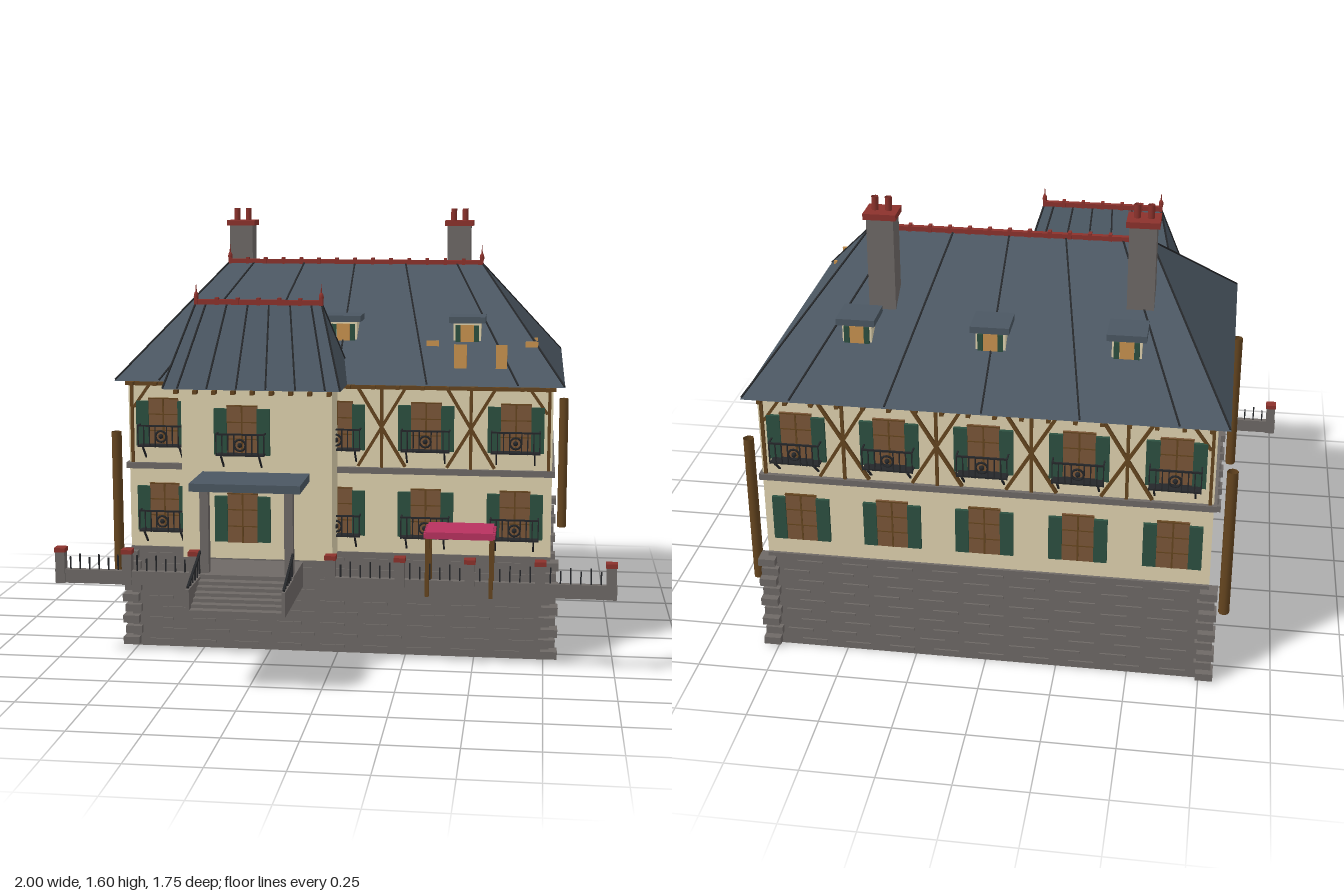
import * as THREE from 'three';

const mat = (name, color) => new THREE.MeshStandardMaterial({ name, color });

export function createModel() {
  const M = {
    cream: mat('cream plaster', 0xdfd2ae), stone: mat('grey stone', 0x6e6966),
    slate: mat('slate', 0x4b5762), green: mat('shutter green', 0x2c5040),
    wood: mat('window wood', 0x7a5638), timber: mat('dark timber', 0x65451f),
    red: mat('clay red', 0x8c322c), cloth: mat('awning pink', 0xb8325f),
    iron: mat('iron', 0x25272a), tan: mat('tan plank', 0xc8924f),
  };
  M.timber.side = M.red.side = THREE.DoubleSide;
  const house = new THREE.Group();
  house.name = 'house';
  const group = (name, parent = house) => {
    const g = new THREE.Group();
    g.name = name;
    parent.add(g);
    return g;
  };
  const add = (name, geo, m, x = 0, y = 0, z = 0, parent = house) => {
    const o = new THREE.Mesh(geo, m);
    o.name = name;
    o.position.set(x, y, z);
    parent.add(o);
    return o;
  };
  // box given by its limits on each axis
  const span = (name, m, x0, x1, y0, y1, z0, z1, parent) =>
    add(name, new THREE.BoxGeometry(x1 - x0, y1 - y0, z1 - z0), m,
      (x0 + x1) / 2, (y0 + y1) / 2, (z0 + z1) / 2, parent);
  // square bar between two points of the parent's space
  const up = new THREE.Vector3(0, 1, 0);
  const bar = (name, m, a, b, t, parent) => {
    const p = new THREE.Vector3(...a), q = new THREE.Vector3(...b);
    const o = add(name, new THREE.BoxGeometry(t, t, p.distanceTo(q)), m, 0, 0, 0, parent);
    o.position.copy(p).add(q).multiplyScalar(0.5);
    o.quaternion.setFromRotationMatrix(new THREE.Matrix4().lookAt(p, q, up));
  };

  // hipped roof with seams, ridge tiles and finials
  function hipRoof(name, x0, x1, z0, z1, y, r0, r1, top, seams) {
    const g = group(name), zr = (z0 + z1) / 2;
    const A = [x0, y, z1], B = [x1, y, z1], C = [x1, y, z0], D = [x0, y, z0];
    const L = [r0, top, zr], R = [r1, top, zr];
    const tris = [A, B, R, A, R, L, B, C, R, C, D, L, C, L, R, D, A, L, A, D, C, A, C, B];
    const geo = new THREE.BufferGeometry();
    geo.setAttribute('position', new THREE.Float32BufferAttribute(tris.flat(), 3));
    geo.computeVertexNormals();
    add('roofSlopes', geo, M.slate, 0, 0, 0, g);
    const stops = [0, 1];
    for (let i = 0; i < seams; i++) stops.push((i + 0.5) / seams);
    for (const z of [z0, z1]) for (const t of stops) {
      const a = new THREE.Vector3(r0 + (r1 - r0) * t, top, zr);
      const b = new THREE.Vector3(x0 + (x1 - x0) * t, y, z);
      bar('roofSeam', M.iron, a.toArray(), a.clone().lerp(b, 0.99).toArray(), 0.006, g);
    }
    span('ridge', M.red, r0, r1, top - 0.008, top + 0.01, zr - 0.01, zr + 0.01, g);
    const n = Math.round((r1 - r0) / 0.07);
    for (let i = 0; i <= n; i++)
      add('ridgeTile', new THREE.BoxGeometry(0.012, 0.026, 0.024), M.red, r0 + (r1 - r0) * i / n, top + 0.004, zr, g);
    for (const x of [r0, r1]) {
      const bulb = add('finialBulb', new THREE.SphereGeometry(0.009, 8, 6), M.red, x, top + 0.02, zr, g);
      bulb.scale.y = 2;
      add('finialSpike', new THREE.ConeGeometry(0.005, 0.05, 6), M.red, x, top + 0.045, zr, g);
    }
  }

  // stone base with corner quoins and raised courses
  span('base', M.stone, -0.77, 0.77, 0, 0.38, -0.83, 0.32);
  const stones = group('baseStones');
  for (let r = 0; r < 9; r++) {
    const y = 0.024 + r * 0.041, e = r % 2 ? 0.022 : 0.03;
    for (const s of [-1, 1]) for (const [z, d] of [[0.32, 1], [-0.83, -1]])
      add('quoin', new THREE.BoxGeometry(0.06, 0.028, 0.06), M.stone,
        s * (0.77 + e - 0.03), y, z + d * (e - 0.03), stones);
    for (let c = 0; c < 9; c++) for (const z of [0.32, -0.83])
      add('courseStone', new THREE.BoxGeometry(0.09, 0.01, 0.012), M.stone,
        -0.66 + c * 0.16 + (r % 2) * 0.05, y, z, stones);
  }

  // walls, string course and eaves boards
  span('walls', M.cream, -0.77, 0.77, 0.38, 1.0, -0.82, 0.315);
  span('towerWalls', M.cream, -0.54, 0, 0.38, 1.0, 0.2, 0.467);
  span('stringCourseFront', M.stone, 0, 0.78, 0.673, 0.695, 0.3, 0.328);
  span('stringCourseFront', M.stone, -0.78, -0.54, 0.673, 0.695, 0.3, 0.328);
  span('stringCourseBack', M.stone, -0.78, 0.78, 0.673, 0.695, -0.835, -0.8);
  for (const s of [-1, 1]) {
    add('stringCourseSide', new THREE.BoxGeometry(0.02, 0.022, 1.163), M.stone, s * 0.77, 0.684, -0.2535);
    add('eavesBoardSide', new THREE.BoxGeometry(0.016, 0.014, 1.15), M.timber, s * 0.772, 0.988, -0.25);
  }
  for (const z of [0.32, -0.825])
    add('eavesBoard', new THREE.BoxGeometry(1.55, 0.014, 0.02), M.timber, 0, 0.988, z);
  const brackets = group('eavesBrackets');
  for (let i = 0; i < 18; i++) {
    const x = -0.75 + i * 0.0882;
    for (const z of [0.337, -0.85])
      add('bracket', new THREE.BoxGeometry(0.014, 0.012, 0.045), M.timber, x, 0.99, z, brackets);
    if (i < 9) add('towerBracket', new THREE.BoxGeometry(0.014, 0.014, 0.036), M.timber, -0.54 + i * 0.0675, 0.99, 0.538, brackets);
  }
  hipRoof('mainRoof', -0.81, 0.81, -0.877, 0.36, 1.0, -0.5, 0.49, 1.4, 5);
  hipRoof('towerRoof', -0.585, 0.04, 0.185, 0.558, 1.0, -0.5, -0.05, 1.29, 6);

  // shuttered windows and balconies, facing +z at the local origin
  function balcony(parent, y) {
    const g = group('balcony', parent), w = 0.085, d = 0.05, h = 0.078;
    span('balconyFloor', M.iron, -w, w, y, y + 0.006, 0, d, g);
    bar('balconyRail', M.iron, [-w, y + h, d], [w, y + h, d], 0.006, g);
    for (let i = 0; i <= 8; i++) {
      const x = -w + i * w / 4;
      if (i !== 4) bar('balconyBar', M.iron, [x, y, d], [x, y + h, d], 0.004, g);
    }
    add('balconyRing', new THREE.TorusGeometry(0.02, 0.004, 5, 12), M.iron, 0, y + 0.04, d, g);
    add('balconyBoss', new THREE.SphereGeometry(0.009, 8, 6), M.iron, 0, y + 0.04, d, g);
    for (const s of [-1, 1]) {
      bar('balconySideRail', M.iron, [s * w, y + h, 0], [s * w, y + h, d], 0.005, g);
      bar('balconyBrace', M.iron, [s * w * 0.8, y, d], [s * w * 0.8, y - 0.045, 0], 0.006, g);
    }
  }
  function shutteredWindow(parent, x, z, y, rail) {
    const g = group('window', parent);
    g.position.set(x, 0, z);
    span('windowPanel', M.wood, -0.055, 0.055, y, y + 0.18, -0.005, 0.008, g);
    span('windowMullion', M.timber, -0.003, 0.003, y, y + 0.18, 0, 0.01, g);
    for (const h of [0.06, 0.12, 0.178])
      span('windowBar', M.timber, -0.055, 0.055, y + h - 0.002, y + h + 0.002, 0, 0.01, g);
    for (const s of [-1, 1])
      add('shutter', new THREE.BoxGeometry(0.046, 0.165, 0.012), M.green, s * 0.077, y + 0.086, 0.008, g);
    if (rail) balcony(g, y + rail);
  }
  // half-timber crossing between two bays
  function crossing(parent, x, z, w) {
    const g = group('timberCrossing', parent);
    g.position.set(x, 0, z);
    bar('timberPost', M.timber, [0, 0.695, 0], [0, 0.985, 0], 0.011, g);
    if (!w) return;
    for (const s of [-1, 1])
      bar('timberBrace', M.timber, [-s * w, 0.7, 0.002], [s * w, 0.985, 0.002], 0.011, g);
  }
  const bays = [-0.64, -0.32, 0, 0.32, 0.64];
  const front = group('frontFacade'), back = group('backFacade');
  front.position.z = 0.315;
  back.position.z = -0.82;
  back.rotation.y = Math.PI;
  for (const x of bays) {
    const onTower = x === -0.32;
    shutteredWindow(front, x, onTower ? 0.152 : 0, 0.755, 0.005);
    shutteredWindow(front, x, onTower ? 0.152 : 0, 0.44, onTower ? 0 : 0.005);
    shutteredWindow(back, x, 0, 0.755, 0.005);
    shutteredWindow(back, x, 0, 0.44, 0);
  }
  for (const f of [front, back]) {
    for (const x of [0.16, 0.48, -0.16, -0.48])
      if (f === back || x > 0) crossing(f, x, 0.003, 0.085);
    for (const s of [-1, 1]) {
      crossing(f, s * 0.757, 0.003, 0);
      bar('cornerBrace', M.timber, [s * 0.75, 0.9, 0.004], [s * 0.69, 0.985, 0.004], 0.01, f);
    }
  }

  // dormers on both slopes
  for (const s of [-1, 1]) for (const x of [-0.455, 0, 0.455]) {
    const g = group('dormer');
    g.position.set(x, 0, -0.26);
    if (s < 0) g.rotation.y = Math.PI;
    span('dormerBody', M.cream, -0.05, 0.05, 1.1, 1.205, 0.29, 0.405, g);
    span('dormerRoof', M.slate, -0.066, 0.066, 1.205, 1.228, 0.296, 0.428, g);
    span('dormerWindow', M.tan, -0.024, 0.024, 1.135, 1.197, 0.4, 0.411, g);
    for (const k of [-1, 1])
      add('dormerShutter', new THREE.BoxGeometry(0.018, 0.06, 0.01), M.green, k * 0.034, 1.166, 0.409, g);
  }

  // chimneys
  for (const [x, z] of [[-0.485, -0.459], [0.39, -0.505]]) {
    const g = group('chimney');
    g.position.set(x, 0, z);
    span('chimneyStack', M.stone, -0.046, 0.046, 1.1, 1.535, -0.044, 0.044, g);
    span('chimneyCap', M.red, -0.056, 0.056, 1.535, 1.556, -0.051, 0.051, g);
    for (const s of [-1, 1])
      add('chimneyPot', new THREE.CylinderGeometry(0.012, 0.012, 0.05, 8, 1, true), M.red, s * 0.023, 1.578, 0, g);
  }

  // loose planks over the front slope
  for (const [x, y, z, w, h] of [[0.438, 1.098, 0.283, 0.045, 0.085], [0.584, 1.098, 0.283, 0.04, 0.085],
    [0.332, 1.132, 0.177, 0.045, 0.02], [0.69, 1.132, 0.177, 0.045, 0.02], [0.705, 1.137, 0.033, 0.012, 0.012]])
    add('plank', new THREE.BoxGeometry(w, h, 0.01), M.tan, x, y, z);

  // corner poles
  for (const [x, z] of [[-0.825, 0.29], [-0.825, -0.78], [0.825, -0.78]])
    add('cornerPole', new THREE.CylinderGeometry(0.019, 0.019, 0.555, 8, 1, true), M.timber, x, 0.525, z);

  // porch, landing and steps
  span('porchRoof', M.slate, -0.465, -0.08, 0.667, 0.695, 0.46, 0.695);
  span('landing', M.stone, -0.44, -0.105, 0.285, 0.375, 0.467, 0.69);
  for (let i = 0; i < 6; i++)
    span('step', M.stone, -0.43, -0.115, 0.285, 0.36 - i * 0.012, 0.69 + i * 0.03, 0.72 + i * 0.03 + 0.005);
  for (const x of [-0.435, -0.11]) {
    add('stepCheek', new THREE.BoxGeometry(0.012, 0.085, 0.185), M.stone, x, 0.3275, 0.7825);
    bar('stepRail', M.iron, [x, 0.45, 0.665], [x, 0.375, 0.865], 0.008);
    for (let i = 0; i < 5; i++)
      bar('stepBaluster', M.iron, [x, 0.36, 0.68 + i * 0.035], [x, 0.444 - i * 0.013, 0.68 + i * 0.035], 0.005);
  }
  for (const x of [-0.42, -0.125])
    add('porchColumn', new THREE.BoxGeometry(0.03, 0.295, 0.03), M.stone, x, 0.521, 0.65);

  // garden fence
  const fence = group('fence');
  for (const [x0, x1] of [[-1, -0.47], [-0.02, 1]]) {
    span('fenceWall', M.stone, x0, x1, 0.285, 0.335, 0.5, 0.522, fence);
    for (let x = x0 + 0.02, i = 0; x < x1; x += 0.035, i++)
      bar('fenceBar', M.iron, [x, 0.33, 0.511], [x, i % 2 ? 0.38 : 0.392, 0.511], 0.005, fence);
  }
  for (const x of [-0.98, -0.735, -0.49, 0, 0.245, 0.49, 0.735, 0.98]) {
    add('fencePost', new THREE.BoxGeometry(0.034, 0.115, 0.034), M.stone, x, 0.3425, 0.511, fence);
    add('fencePostCap', new THREE.BoxGeometry(0.04, 0.016, 0.04), M.red, x, 0.406, 0.511, fence);
  }

  // awning on four posts
  span('awning', M.cloth, 0.338, 0.57, 0.492, 0.516, 0.392, 0.558);
  for (const x of [0.343, 0.565]) {
    for (const z of [0.405, 0.548])
      bar('awningPost', M.timber, [x, 0.285, z], [x, 0.495, z], 0.014);
    for (let i = 0; i < 6; i++)
      add('awningScallop', new THREE.BoxGeometry(0.026, 0.016, 0.014), M.cloth, x, 0.501, 0.405 + i * 0.028);
  }
  return house;
}
